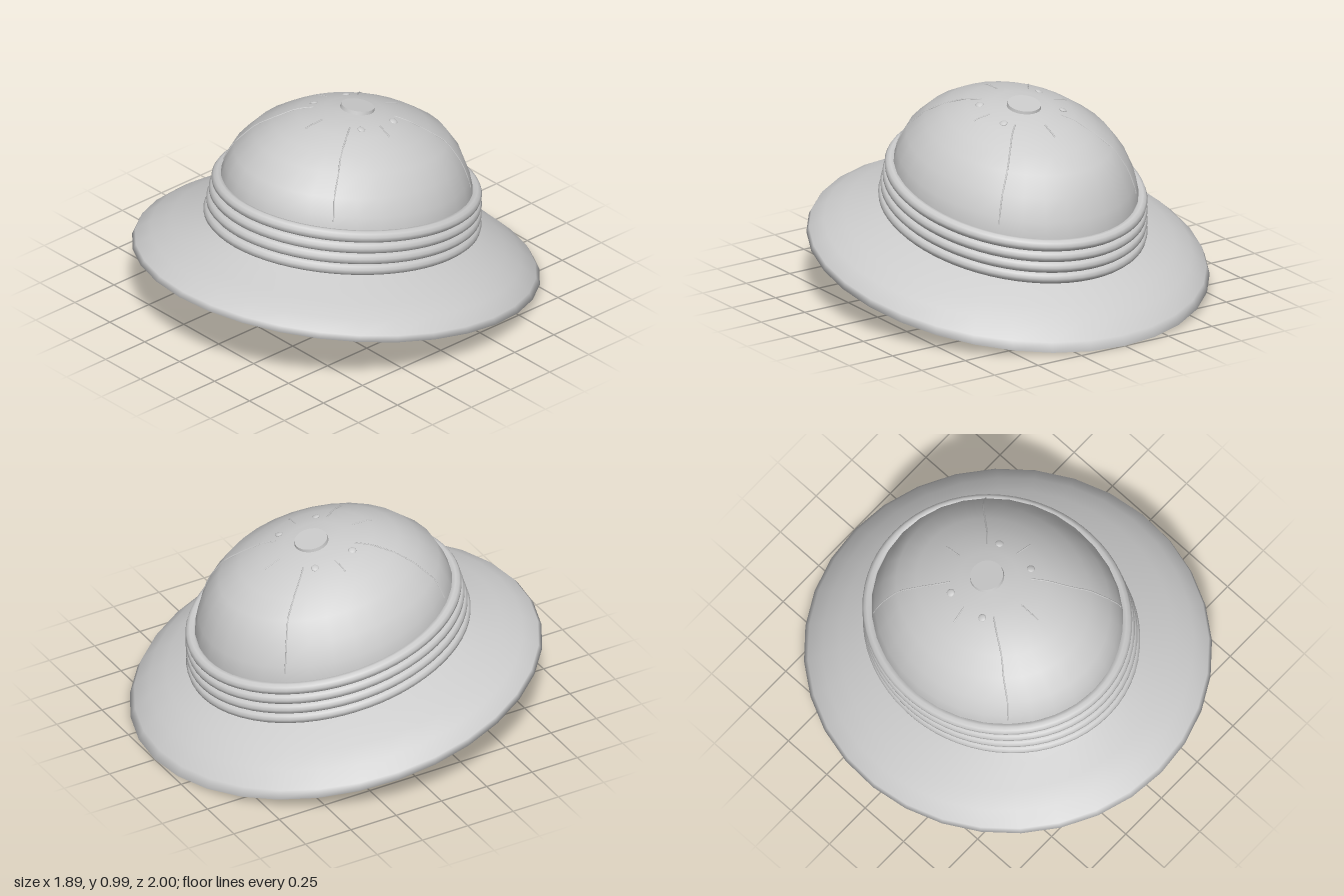
import * as THREE from 'three';

const SEG = 32;
const material = new THREE.MeshStandardMaterial({ color: 0xcccccc });

// A ring is [frontZ, frontY, backZ, backY, halfWidth]: a tilted oval.
function ringPoint([fz, fy, bz, by, w], a) {
  const c = Math.cos(a);
  return new THREE.Vector3(
    w * Math.sin(a),
    (fy + by) / 2 + (c * (fy - by)) / 2,
    (fz + bz) / 2 + (c * (fz - bz)) / 2
  );
}

// Smooth skin over a stack of rings
function loft(rings) {
  const pos = [], index = [];
  rings.forEach((ring, r) => {
    for (let i = 0; i < SEG; i++) {
      pos.push(...ringPoint(ring, (i / SEG) * Math.PI * 2).toArray());
      if (r === rings.length - 1) continue;
      const a = r * SEG + i, b = r * SEG + ((i + 1) % SEG);
      index.push(a, b, b + SEG, a, b + SEG, a + SEG);
    }
  });
  const geo = new THREE.BufferGeometry();
  geo.setAttribute('position', new THREE.Float32BufferAttribute(pos, 3));
  geo.setIndex(index);
  geo.computeVertexNormals();
  return geo;
}

const mixRings = (p, q, t) => p.map((v, i) => v + (q[i] - v) * t);

const crownRings = [
  [0.61, 0.48, -0.70, 0.25, 0.59],
  [0.565, 0.69, -0.70, 0.47, 0.565],
  [0.54, 0.75, -0.685, 0.55, 0.55],
  [0.5, 0.82, -0.65, 0.66, 0.505],
  [0.4, 0.9, -0.59, 0.755, 0.43],
  [0.3, 0.945, -0.49, 0.83, 0.34],
  [0.17, 0.978, -0.38, 0.89, 0.25],
  [0.03, 0.982, -0.27, 0.932, 0.14],
  [-0.13, 0.964, -0.13, 0.964, 0],
];

const brimRings = [
  [0.975, 0.35, -0.975, 0.004, 0.92],
  [1, 0.355, -1, 0, 0.945],
  [0.98, 0.378, -0.975, 0.045, 0.935],
  [0.9, 0.415, -0.9, 0.12, 0.87],
  [0.8, 0.44, -0.82, 0.18, 0.78],
  [0.68, 0.468, -0.74, 0.23, 0.67],
  [0.61, 0.49, -0.69, 0.26, 0.59],
];

// Point on the crown: u runs from the base ring (0) to the apex (8)
function crownPoint(u, a) {
  const r = Math.min(Math.floor(u), crownRings.length - 2);
  return ringPoint(mixRings(crownRings[r], crownRings[r + 1], u - r), a);
}

export function createModel() {
  const group = new THREE.Group();
  group.name = 'sunHelmet';
  const add = (name, geo) => {
    const mesh = new THREE.Mesh(geo, material);
    mesh.name = name;
    group.add(mesh);
    return mesh;
  };

  add('crown', loft(crownRings));
  add('brim', loft(brimRings));

  // Hollow inside: the crown inset, then the underside of the brim
  const inset = crownRings.slice(1).map(([fz, fy, bz, by, w]) => {
    const d = w > 0 ? 0.03 : 0;
    return [fz - d, fy - 0.03, bz + d, by - 0.03, w - d];
  });
  add('lining', loft([
    ...inset.reverse(),
    [0.58, 0.5, -0.665, 0.28, 0.56],
    [0.66, 0.44, -0.71, 0.205, 0.64],
    [0.79, 0.41, -0.8, 0.15, 0.76],
    [0.89, 0.385, -0.88, 0.085, 0.85],
    brimRings[0],
  ]));

  // Four rolled bands round the crown
  const topBand = [0.58, 0.675, -0.717, 0.445, 0.575];
  const lowBand = [0.63, 0.517, -0.712, 0.282, 0.587];
  for (let i = 0; i < 4; i++) {
    const ring = mixRings(topBand, lowBand, i / 3);
    const points = [];
    for (let k = 0; k < SEG; k++) points.push(ringPoint(ring, (k / SEG) * Math.PI * 2));
    const path = new THREE.CatmullRomCurve3(points, true);
    add('band' + (i + 1), new THREE.TubeGeometry(path, SEG * 2, 0.029, 10, true));
  }

  // Fine seams: long on the diagonals, short front, back and sides
  for (let i = 0; i < 8; i++) {
    const a = (i * Math.PI) / 4;
    const start = i % 2 ? 1.6 : 5.8;
    const points = [];
    for (let k = 0; k <= 8; k++) points.push(crownPoint(start + ((6.6 - start) * k) / 8, a));
    add('seam' + (i + 1), new THREE.TubeGeometry(new THREE.CatmullRomCurve3(points), 16, 0.004, 5));
  }

  // Four small vent studs round the top
  for (const sx of [-1, 1]) {
    for (const a of [Math.PI * 0.34, Math.PI * 0.66]) {
      const stud = add('ventStud', new THREE.SphereGeometry(0.02, 12, 8));
      stud.position.copy(crownPoint(6.5, sx * a));
      stud.scale.y = 0.4;
      stud.rotation.set(-0.17, 0, -sx * 0.3);
    }
  }

  // Flat button at the peak
  const button = add('topButton', new THREE.CylinderGeometry(0.08, 0.084, 0.024, 24));
  button.position.set(0, 0.962, -0.137);
  button.rotation.x = -0.2;

  return group;
}
